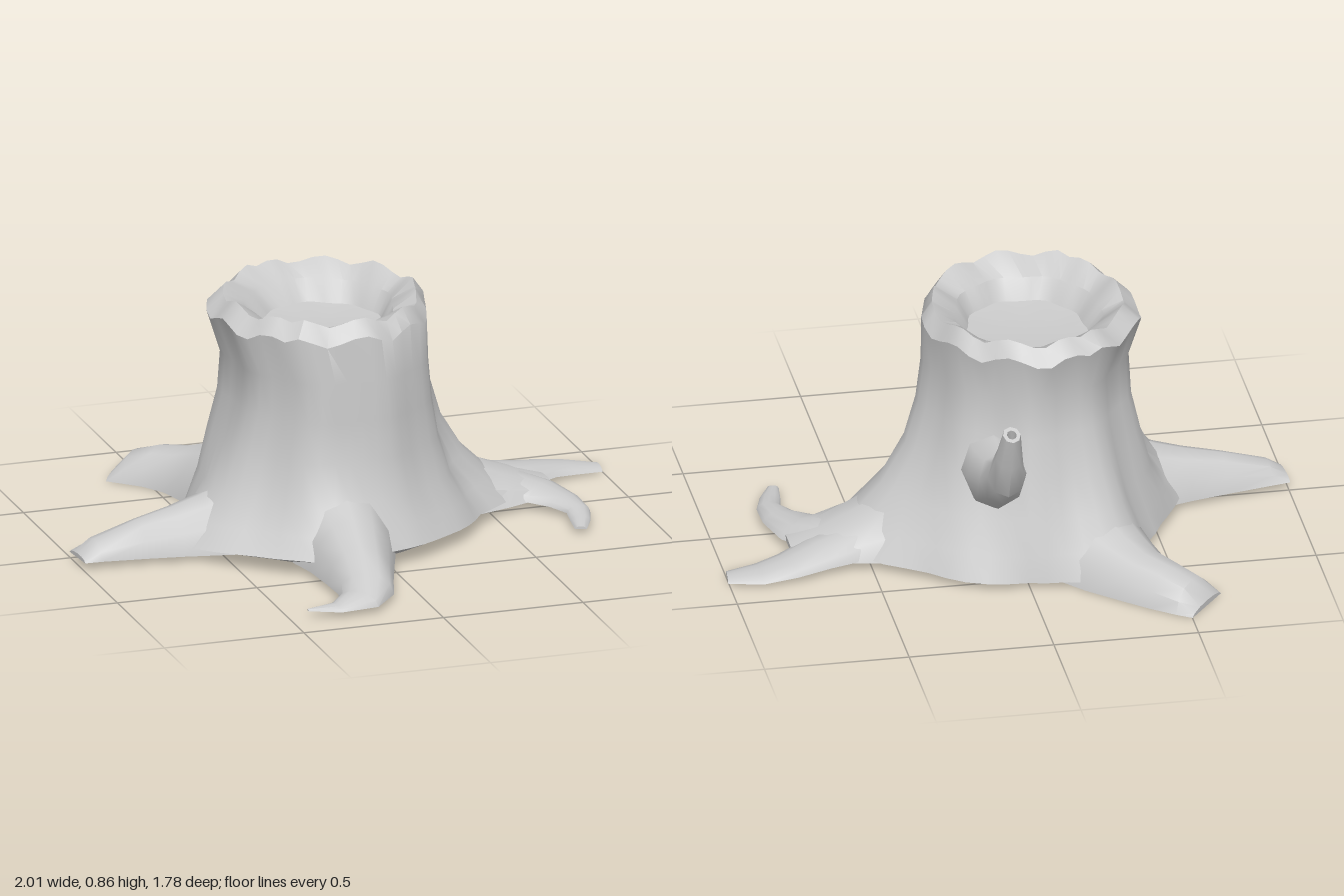
import * as THREE from 'three';
import { toCreasedNormals } from 'three/addons/utils/BufferGeometryUtils.js';

const material = new THREE.MeshStandardMaterial({ color: 0xcccccc, side: THREE.DoubleSide });

// Skin a list of closed rings (each counter-clockwise about the path) and cap both ends.
function loft(name, rings, crease = 0.7) {
  const n = rings[0].length;
  const pos = rings.flat().flatMap((p) => p.toArray());
  const index = [];
  for (let r = 0; r < rings.length - 1; r++) {
    for (let i = 0; i < n; i++) {
      const a = r * n + i, b = r * n + (i + 1) % n;
      index.push(a, b, a + n, b, b + n, a + n);
    }
  }
  [0, rings.length - 1].forEach((r) => {
    const c = rings[r].reduce((s, p) => s.add(p), new THREE.Vector3()).divideScalar(n);
    const ci = pos.length / 3;
    pos.push(...c.toArray());
    for (let i = 0; i < n; i++) {
      const a = r * n + i, b = r * n + (i + 1) % n;
      if (r) index.push(a, b, ci); else index.push(b, a, ci);
    }
  });
  const geo = new THREE.BufferGeometry();
  geo.setAttribute('position', new THREE.Float32BufferAttribute(pos, 3));
  geo.setIndex(index);
  const mesh = new THREE.Mesh(toCreasedNormals(geo, crease), material);
  mesh.name = name;
  return mesh;
}

// Outline of the foot: [angle in degrees, radius], bulging where the roots leave.
const foot = [[-8, 0.62], [7, 0.68], [26, 0.63], [42, 0.55], [62, 0.55], [83, 0.52], [98, 0.54],
  [115, 0.63], [130, 0.59], [140, 0.49], [160, 0.49], [179, 0.55], [190, 0.63], [202, 0.6],
  [222, 0.55], [243, 0.56], [261, 0.61], [277, 0.51], [305, 0.49], [340, 0.52], [352, 0.62]];
function footRadius(deg) {
  const d = deg > 352 ? deg - 360 : deg;
  const k = foot.findIndex((p) => p[0] >= d);
  const [p, q] = [foot[k - 1], foot[k]];
  return THREE.MathUtils.mapLinear(d, p[0], q[0], p[1], q[1]);
}

// Trunk with flared foot, jagged bevelled rim and shallow hollow top.
function trunk() {
  const N = 48;
  // y, centre x, centre z, radius x, radius z, share of foot outline, fluting, jaggedness, tilt
  const levels = [
    [0.00, -0.06, -0.05, 0.22, 0.24, 0.55, 0, 0, 0],
    [0.04, -0.06, -0.05, 0.35, 0.38, 1, 0, 0, 0.02],
    [0.12, -0.06, -0.055, 0.36, 0.39, 0.75, 0.006, 0, 0.01],
    [0.22, -0.065, -0.055, 0.36, 0.395, 0.42, 0.01, 0, 0],
    [0.36, -0.07, -0.05, 0.365, 0.395, 0.13, 0.012, 0, 0],
    [0.50, -0.07, -0.035, 0.35, 0.39, 0.03, 0.01, 0, 0],
    [0.64, -0.075, -0.025, 0.345, 0.382, 0, 0.009, 0, 0],
    [0.785, -0.095, -0.048, 0.37, 0.395, 0, 0.006, 0.018, 0],
    [0.84, -0.085, -0.05, 0.325, 0.35, 0, 0.004, 0.015, 0],
    [0.795, -0.085, -0.06, 0.25, 0.265, 0, 0.006, 0, 0],
    [0.725, -0.08, -0.055, 0.205, 0.22, 0, 0.006, 0, 0],
    [0.715, -0.08, -0.055, 0.12, 0.13, 0, 0, 0, 0],
  ];
  const jag = [1, 0.2, -0.9, -0.3, 0.6, 0.9, -0.2, -1, 0.1, 0.8, 0.3, -0.7, -0.9, 0.5, 0.7, 0];
  const rings = levels.map(([y, cx, cz, rx, rz, share, flute, rough, tilt]) =>
    Array.from({ length: N }, (_, i) => {
      const a = (i / N) * Math.PI * 2, c = Math.cos(a), s = Math.sin(a);
      const f = footRadius((i / N) * 360) * share;
      const d = flute * (Math.sin(a * 9 + 1) + 0.6 * Math.sin(a * 5));
      // the first ring is a scaled foot, the others blend from ellipse to foot
      return new THREE.Vector3(cx + c * (rx * (1 - share) + f + d),
        y + rough * jag[i % jag.length] - tilt * s, cz - s * (rz * (1 - share) + f + d));
    }));
  return loft('trunk', rings, 0.6);
}

// Root: domed section with a flat underside, rows of [x, z, half width, top, bottom].
const dome = [[-1, 0], [-0.86, 0.5], [-0.48, 0.88], [0, 1], [0.48, 0.88], [0.86, 0.5], [1, 0]];
function root(name, rows) {
  const rings = rows.map(([x, z, w, top, bottom], i) => {
    const p = rows[Math.max(0, i - 1)], q = rows[Math.min(rows.length - 1, i + 1)];
    const t = new THREE.Vector2(q[0] - p[0], q[1] - p[1]).normalize();
    return dome.map(([u, v]) =>
      new THREE.Vector3(x - t.y * u * w, bottom + (top - bottom) * v, z + t.x * u * w));
  });
  return loft(name, rings);
}

// Broken branch: round sections along a bending path, with a hollow tip.
function branch() {
  const rows = [ // y, z, radius, climb angle
    [0.36, -0.32, 0.13, 0.1], [0.375, -0.43, 0.125, 0.15], [0.405, -0.52, 0.092, 0.35],
    [0.45, -0.6, 0.075, 0.8], [0.55, -0.655, 0.055, 1.1], [0.66, -0.705, 0.036, 1.15],
    [0.66, -0.705, 0.02, 1.15], [0.62, -0.687, 0.015, 1.15],
  ];
  const rings = rows.map(([y, z, r, climb]) => Array.from({ length: 8 }, (_, k) => {
    const a = (k / 8) * Math.PI * 2, up = Math.sin(a) * r;
    return new THREE.Vector3(0.09 - Math.cos(a) * r * 0.85, y + up * Math.cos(climb),
      z + up * Math.sin(climb));
  }));
  return loft('branch', rings, 1);
}

export function createModel() {
  const group = new THREE.Group();
  group.name = 'treeStump';
  group.add(trunk(), branch());
  const roots = {
    rightRoot: [[-0.4, 0.05, 0.17, 0.26, 0.02], [-0.55, 0.05, 0.14, 0.195, 0.02],
      [-0.65, 0.055, 0.115, 0.165, 0.02], [-0.78, 0.06, 0.09, 0.135, 0.02],
      [-0.94, 0.07, 0.075, 0.085, 0.025], [-1, 0.075, 0.068, 0.04, 0.025]],
    backRoot: [[-0.25, -0.4, 0.2, 0.22, 0], [-0.32, -0.54, 0.16, 0.165, 0], [-0.38, -0.63, 0.13, 0.13, 0],
      [-0.45, -0.71, 0.115, 0.115, 0], [-0.52, -0.77, 0.11, 0.085, 0], [-0.565, -0.805, 0.105, 0.02, 0]],
    frontRoot: [[-0.14, 0.36, 0.18, 0.26, 0.02], [-0.15, 0.48, 0.145, 0.2, 0.02],
      [-0.17, 0.62, 0.115, 0.15, 0.02], [-0.19, 0.74, 0.095, 0.095, 0.02], [-0.24, 0.815, 0.08, 0.06, 0.02],
      [-0.33, 0.845, 0.045, 0.035, 0.018], [-0.43, 0.835, 0.006, 0.025, 0.018]],
    leftRoot: [[0.35, -0.13, 0.22, 0.23, 0.02], [0.45, -0.135, 0.2, 0.18, 0.02],
      [0.55, -0.14, 0.185, 0.13, 0.025], [0.66, -0.15, 0.165, 0.085, 0.03], [0.76, -0.15, 0.11, 0.05, 0.03]],
    leftRootBackProng: [[0.55, -0.21, 0.11, 0.11, 0.03], [0.68, -0.25, 0.1, 0.08, 0.025],
      [0.79, -0.3, 0.085, 0.055, 0.02], [0.89, -0.32, 0.075, 0.035, 0.012], [1, -0.31, 0.045, 0.018, 0.005]],
    leftRootFrontProng: [[0.6, -0.11, 0.13, 0.1, 0.03], [0.7, -0.04, 0.1, 0.07, 0.03],
      [0.75, 0.06, 0.065, 0.055, 0.025], [0.77, 0.15, 0.042, 0.045, 0.02], [0.75, 0.23, 0.035, 0.035, 0.018],
      [0.725, 0.31, 0.02, 0.025, 0.015]],
  };
  for (const [name, rows] of Object.entries(roots)) group.add(root(name, rows));
  return group;
}
